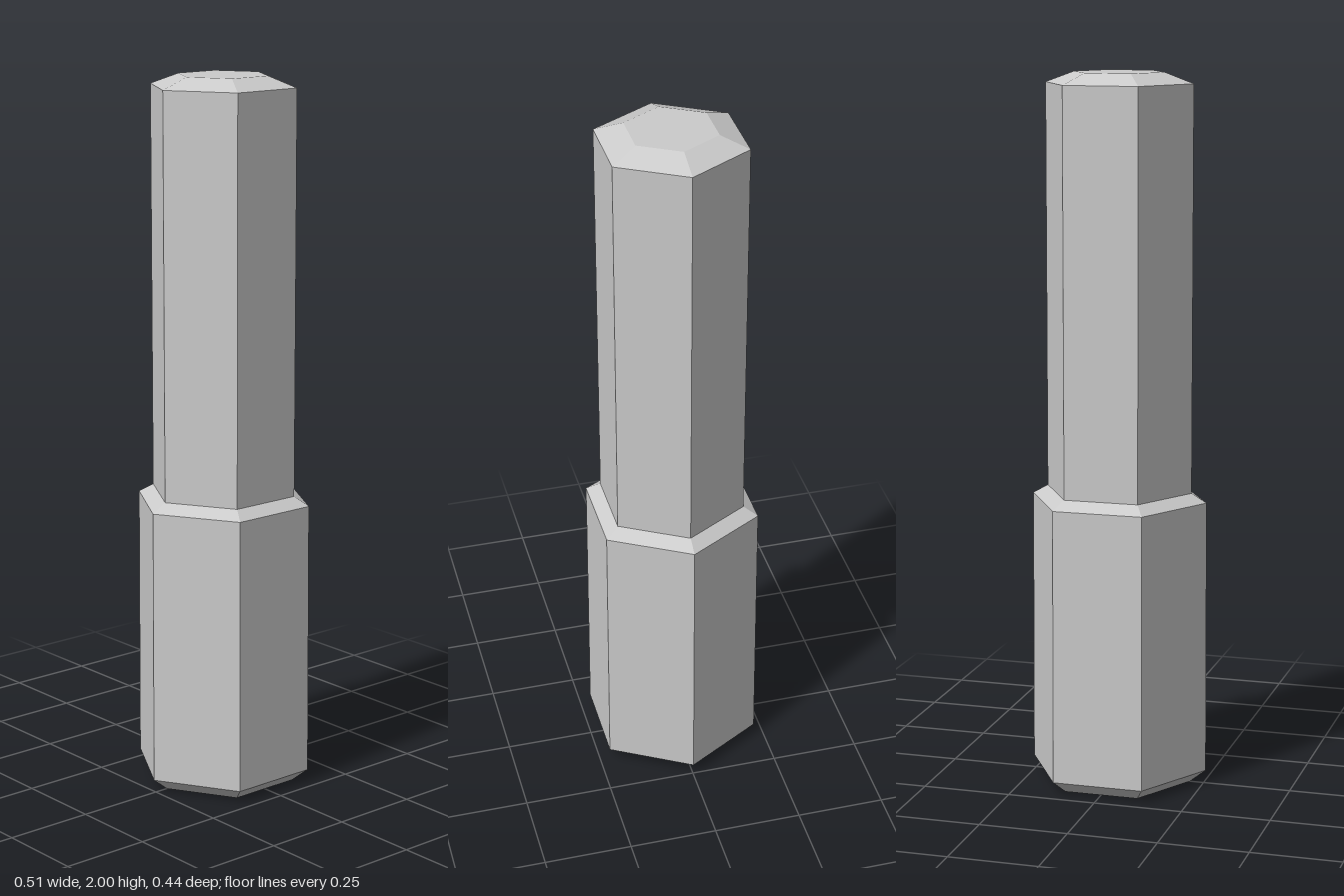
import * as THREE from 'three';

// Six-sided solid from [radius, height] pairs, bottom to top, corners on the x axis
function hexPart(name, profile, material) {
  const points = profile.map(([r, y]) => new THREE.Vector2(r, y));
  const mesh = new THREE.Mesh(new THREE.LatheGeometry(points, 6, Math.PI / 2), material);
  mesh.name = name;
  return mesh;
}

export function createModel() {
  const model = new THREE.Group();
  model.name = 'hexagonalStem';
  const grey = new THREE.MeshStandardMaterial({ color: 0xcccccc, flatShading: true });

  // Thick lower sleeve, bevelled at both ends, very slightly tapered
  model.add(hexPart('sleeve', [
    [0, 0], [0.21, 0], [0.256, 0.037], [0.253, 0.815], [0.21, 0.84],
  ], grey));

  // Slimmer upper shaft with a wide shallow bevel and flat tip
  model.add(hexPart('shaft', [
    [0.21, 0.84], [0.21, 1.97], [0.128, 2], [0, 2],
  ], grey));

  return model;
}
